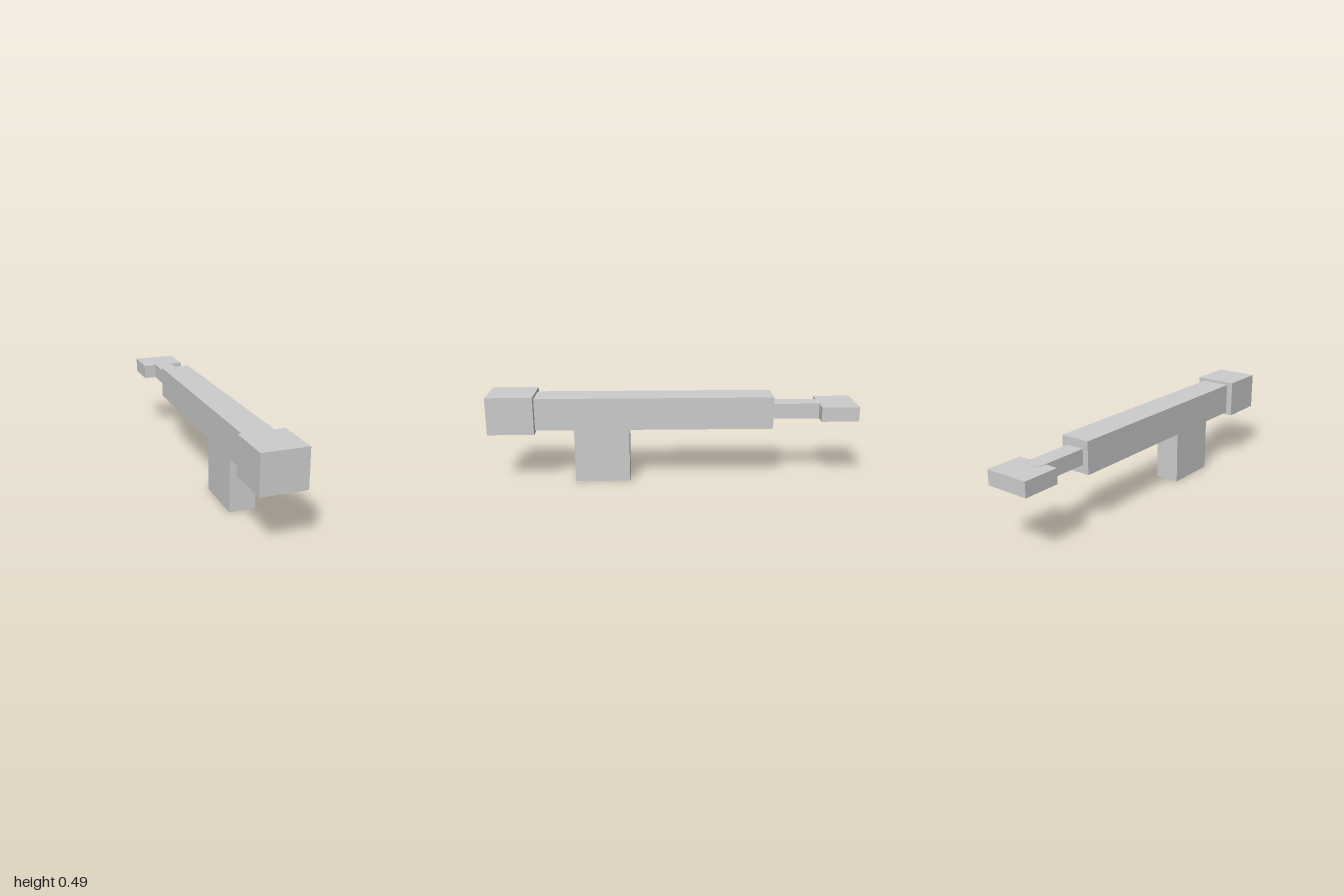
import * as THREE from 'three';

export function createModel() {
  const model = new THREE.Group();
  const grey = new THREE.MeshStandardMaterial({ color: 0xcccccc });
  grey.name = 'lightGrey';

  // Box centred on x, given its full width and its y and z limits
  function block(name, width, y0, y1, z0, z1) {
    const mesh = new THREE.Mesh(new THREE.BoxGeometry(width, y1 - y0, z1 - z0), grey);
    mesh.name = name;
    mesh.position.set(0, (y0 + y1) / 2, (z0 + z1) / 2);
    model.add(mesh);
  }

  block('frontHead', 0.238, 0.287, 0.492, 0.748, 1);
  block('mainBody', 0.166, 0.3, 0.476, -0.543, 0.748);
  block('lowerGrip', 0.14, 0, 0.3, 0.24, 0.54);
  // The rod runs a little way into the rear handle
  block('plungerRod', 0.1, 0.347, 0.431, -0.84, -0.543);
  block('rearHandle', 0.242, 0.349, 0.429, -1, -0.797);

  return model;
}
